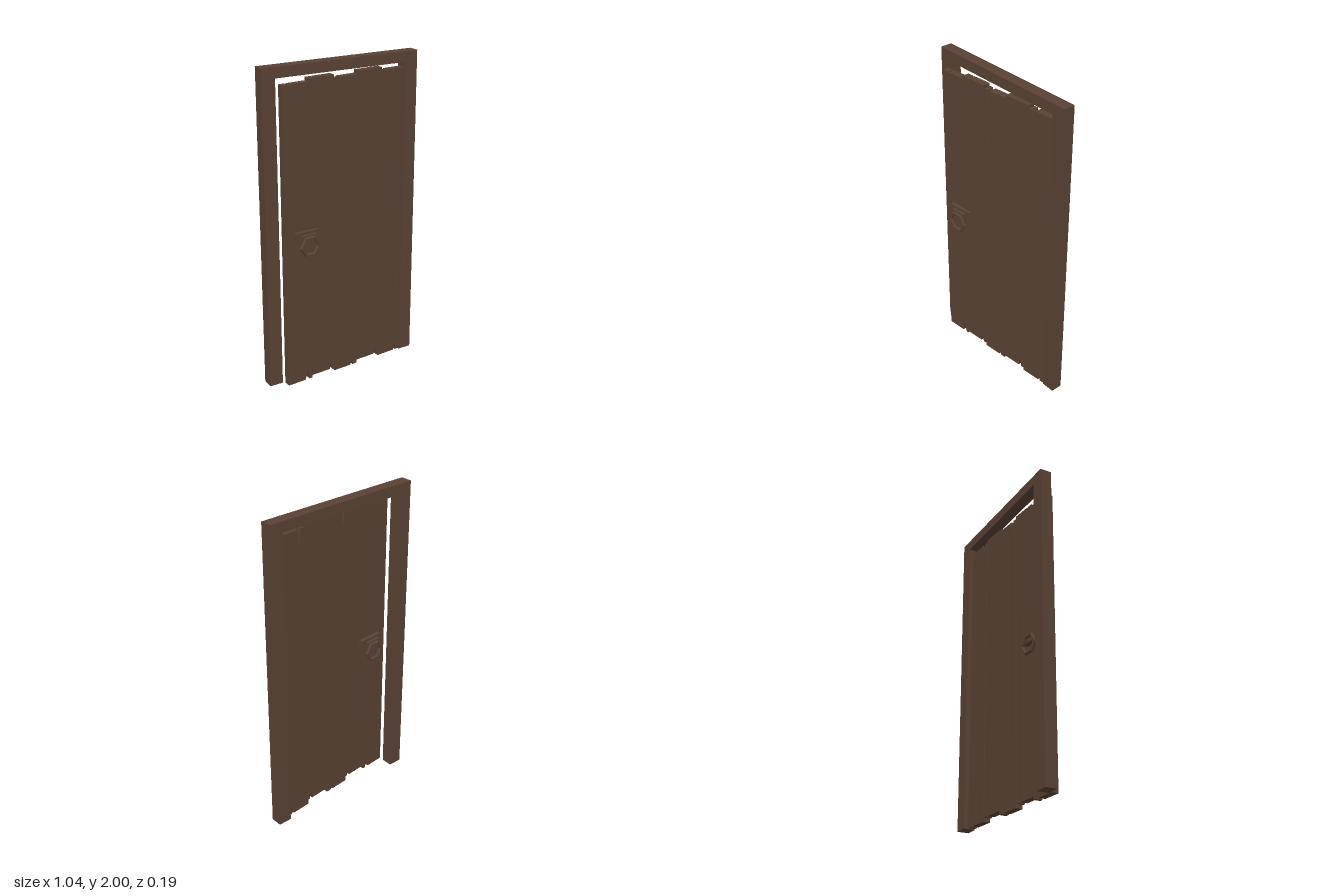
import * as THREE from 'three';

const wood = new THREE.MeshStandardMaterial({ color: 0x5a4234, flatShading: true });

function add(parent, name, geometry, x = 0, y = 0, z = 0) {
  const mesh = new THREE.Mesh(geometry, wood);
  mesh.name = name;
  mesh.position.set(x, y, z);
  parent.add(mesh);
  return mesh;
}

function extrude(points, depth) {
  const shape = new THREE.Shape(points.map(([x, y]) => new THREE.Vector2(x, y)));
  return new THREE.ExtrudeGeometry(shape, { depth, bevelEnabled: false });
}

const PLANK_W = 0.1722, THICK = 0.045;

// Plank outline with a V-shaped split in each end; a split is [x, half width, depth]
function plankGeometry({ y0, y1, top, bottom }) {
  const h = PLANK_W / 2;
  const points = [[-h, y0]];
  const [bx, bw, bd] = bottom;
  points.push([bx - bw, y0], [bx - 0.003, y0 + bd], [bx + 0.003, y0 + bd], [bx + bw, y0]);
  points.push([h, y0], [h, y1]);
  if (top) {
    const [tx, tw, td] = top;
    points.push([tx + tw, y1], [tx + 0.002, y1 - td], [tx - 0.002, y1 - td], [tx - tw, y1]);
  }
  points.push([-h, y1]);
  return extrude(points, THICK);
}

// Back plate, bracket and hexagonal ring, facing +z from the door surface
function createHandle(name) {
  const handle = new THREE.Group();
  handle.name = name;
  add(handle, 'handlePlate', new THREE.BoxGeometry(0.165, 0.062, 0.03), 0, 0.985, 0.007);
  add(handle, 'handleBracket', new THREE.BoxGeometry(0.1, 0.055, 0.018), 0, 0.971, 0.031);
  add(handle, 'handleRing', new THREE.TorusGeometry(0.06, 0.0115, 6, 6), 0, 0.928, 0.044);
  return handle;
}

export function createModel() {
  const model = new THREE.Group();
  model.name = 'door';

  // Frame: two posts and a lintel in one piece
  const frame = [
    [-0.522, 0], [-0.435, 0], [-0.435, 1.935], [0.435, 1.935],
    [0.435, 0], [0.522, 0], [0.522, 2], [-0.522, 2],
  ];
  add(model, 'doorFrame', extrude(frame, 0.073), 0, 0, -0.093);

  // Door leaf, slightly ajar about its hinge edge
  const leaf = new THREE.Group();
  leaf.name = 'doorLeaf';
  leaf.position.set(0.433, 0, -0.0225);
  leaf.rotation.y = 0.0805;
  model.add(leaf);

  // Planks, every second one set a little forward
  const planks = [
    { y0: 0.01, y1: 1.906, top: [-0.043, 0.007, 0.033], bottom: [0.052, 0.014, 0.07] },
    { y0: 0.03, y1: 1.927, top: [-0.043, 0.005, 0.012], bottom: [0.057, 0.011, 0.052] },
    { y0: 0.005, y1: 1.906, top: [-0.053, 0.011, 0.073], bottom: [0.045, 0.008, 0.037] },
    { y0: 0.03, y1: 1.927, top: null, bottom: [0.058, 0.011, 0.052] },
    { y0: 0.005, y1: 1.906, top: [-0.05, 0.011, 0.073], bottom: [0.05, 0.008, 0.037] },
  ];
  planks.forEach((plank, i) => {
    const z = -THICK + (i % 2 ? 0.005 : 0);
    add(leaf, `plank${i + 1}`, plankGeometry(plank), (i - 4.5) * PLANK_W, 0, z);
  });

  // Matching handles on both faces
  const front = createHandle('frontHandle');
  front.position.set(-0.72, 0, 0);
  const back = createHandle('backHandle');
  back.position.set(-0.72, 0, -THICK);
  back.rotation.y = Math.PI;
  leaf.add(front, back);

  return model;
}
